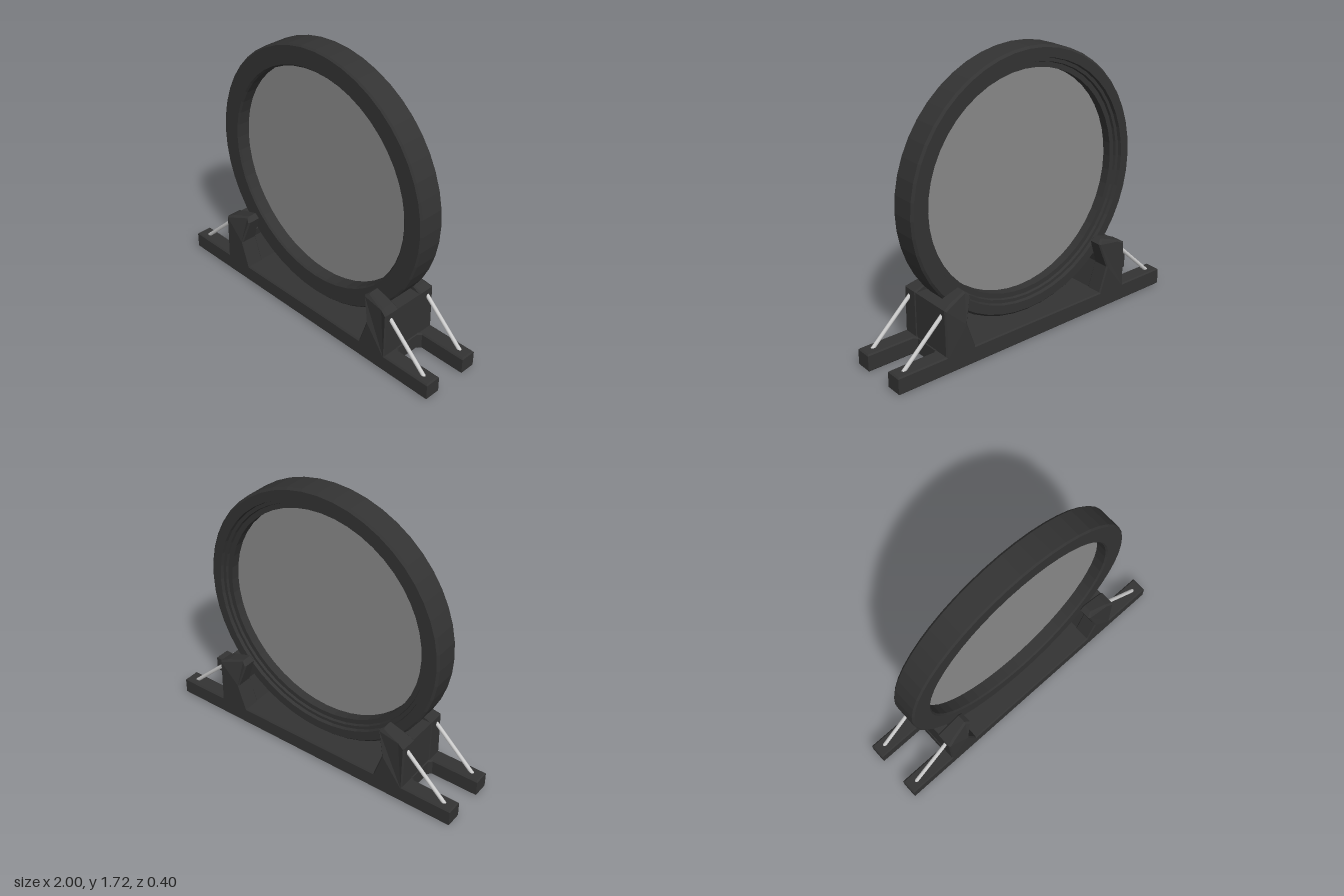
import * as THREE from 'three';

const RING_Y = 0.92;
const RING_R = 0.8;
const dark = new THREE.MeshStandardMaterial({ color: 0x333333, flatShading: true });
const glass = new THREE.MeshStandardMaterial({ color: 0x888888, side: THREE.DoubleSide });
const metal = new THREE.MeshStandardMaterial({ color: 0xcccccc });

function part(name, geometry, material) {
  const mesh = new THREE.Mesh(geometry, material);
  mesh.name = name;
  return mesh;
}

// Extrudes an outline from z0 to z1 with a small bevel kept inside the outline
function slab(points, z0, z1, bevel = 0.008) {
  const shape = new THREE.Shape(points.map(([x, y]) => new THREE.Vector2(x, y)));
  const geometry = new THREE.ExtrudeGeometry(shape, {
    depth: z1 - z0 - 2 * bevel,
    bevelEnabled: bevel > 0,
    bevelThickness: bevel,
    bevelSize: bevel,
    bevelOffset: -bevel,
    bevelSegments: 1,
  });
  return geometry.translate(0, 0, z0 + bevel);
}

// Base: two long rails joined by a shorter floor, an H in plan
function makeBase() {
  const quarter = [[0.68, 0], [0.68, 0.08], [0.7, 0.1], [1, 0.1], [1, 0.2]];
  const back = quarter.map(([x, z]) => [x, z]);
  const left = [...back, ...back.map(([x, z]) => [-x, z]).reverse()];
  const right = left.map(([x, z]) => [-x, -z]);
  const outline = [...left, ...right].filter(([, z]) => z !== 0);
  return part('base', slab(outline, 0, 0.11).rotateX(-Math.PI / 2), dark);
}

// Upright with a claw that leans in over the ring; its outer top is chamfered
function makeUpright(side) {
  const outline = [
    [0.475, 0.09], [0.68, 0.09], [0.68, 0.395], [0.635, 0.415],
    [0.52, 0.45], [0.49, 0.425], [0.535, 0.27],
  ].map(([x, y]) => [x * side, y]);
  const geometry = slab(outline, 0.09, 0.2);
  const pos = geometry.attributes.position;
  for (let i = 0; i < pos.count; i++) {
    const lift = Math.max(0, pos.getY(i) - 0.385);
    if (pos.getZ(i) > 0.15) pos.setZ(i, pos.getZ(i) - 0.65 * lift);
  }
  geometry.computeVertexNormals();
  return part('upright', geometry, dark);
}

// Cradle block between the uprights, hollowed to the curve of the ring
function makeCradle(side) {
  const outline = [[0.48, 0.09], [0.675, 0.09], [0.675, 0.39]];
  for (let i = 0; i <= 4; i++) {
    const x = 0.6 - 0.07 * (i / 4);
    outline.push([x, RING_Y - Math.sqrt(RING_R ** 2 - x ** 2)]);
  }
  outline.push([0.54, 0.27]);
  return part('cradle', slab(outline.map(([x, y]) => [x * side, y]), -0.1, 0.1, 0), dark);
}

// Thin brace from the rail end up to the upright
function makeBrace(side) {
  const path = new THREE.LineCurve3(
    new THREE.Vector3(0.94 * side, 0.1, 0.153),
    new THREE.Vector3(0.665 * side, 0.36, 0.153),
  );
  return part('brace', new THREE.TubeGeometry(path, 1, 0.012, 10, false), metal);
}

// Ring frame: plain front, stepped recess at the back
function makeRing() {
  const profile = [
    [0.8, -0.077], [0.8, 0.07], [0.79, 0.08], [0.68, 0.08], [0.67, 0.07],
    [0.67, -0.055], [0.7, -0.055], [0.705, -0.07], [0.725, -0.07],
    [0.73, -0.09], [0.787, -0.09], [0.8, -0.077],
  ].map(([r, z]) => new THREE.Vector2(r, z));
  const ring = part('ringFrame', new THREE.LatheGeometry(profile, 48).rotateX(Math.PI / 2), dark);
  ring.position.y = RING_Y;
  return ring;
}

export function createModel() {
  const model = new THREE.Group();
  model.name = 'roundFrameOnStand';

  const disc = part('disc', new THREE.CircleGeometry(0.675, 48), glass);
  disc.position.y = RING_Y;
  model.add(makeBase(), makeRing(), disc);

  for (const side of [-1, 1]) model.add(makeCradle(side));

  // Front and back supports are the same set turned half way round
  for (const name of ['frontSupports', 'backSupports']) {
    const supports = new THREE.Group();
    supports.name = name;
    for (const side of [-1, 1]) supports.add(makeUpright(side), makeBrace(side));
    if (name === 'backSupports') supports.rotation.y = Math.PI;
    model.add(supports);
  }
  return model;
}
